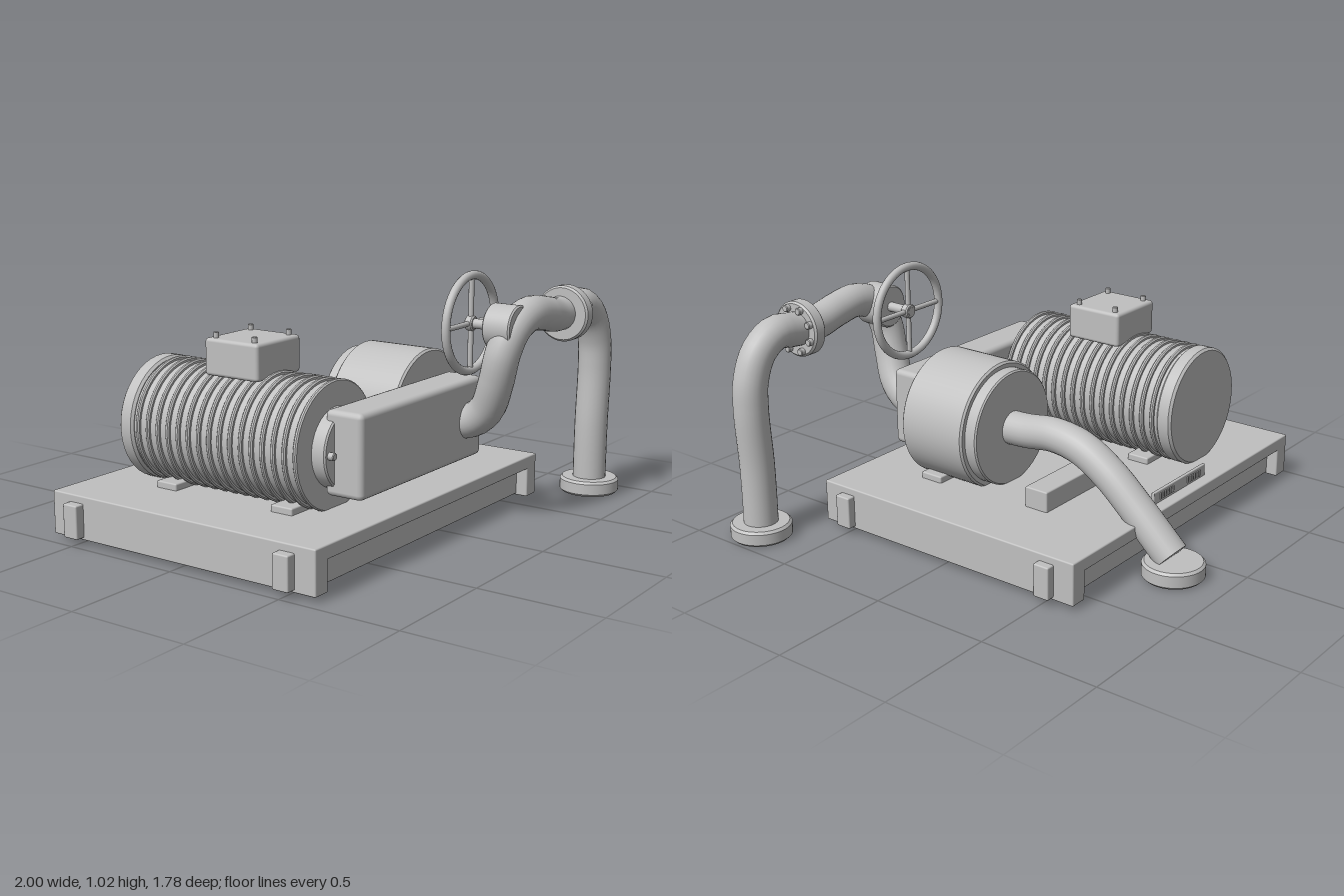
import * as THREE from 'three';
import { RoundedBoxGeometry } from 'three/addons/geometries/RoundedBoxGeometry.js';

export function createModel() {
  const model = new THREE.Group();
  const castMetal = new THREE.MeshStandardMaterial({ color: 0xc0c0c0 });
  castMetal.name = 'castMetal';

  const add = (name, geometry, x = 0, y = 0, z = 0) => {
    const mesh = new THREE.Mesh(geometry, castMetal);
    mesh.name = name;
    mesh.position.set(x, y, z);
    model.add(mesh);
    return mesh;
  };
  // Box given by its limits, with softened edges
  const box = (name, x0, x1, y0, y1, z0, z1, r = 0.006) =>
    add(name, new RoundedBoxGeometry(x1 - x0, y1 - y0, z1 - z0, 2, r),
      (x0 + x1) / 2, (y0 + y1) / 2, (z0 + z1) / 2);
  // Disc or drum from a bevelled profile; axis is 'x', 'y' or 'z'
  const drum = (name, axis, r, from, to, a, b, bevel = 0.006, sides = 48) => {
    const h = to - from;
    const pts = [[0, 0], [r - bevel, 0], [r - bevel, 0], [r, bevel], [r, bevel],
      [r, h - bevel], [r, h - bevel], [r - bevel, h], [r - bevel, h], [0, h]];
    const g = new THREE.LatheGeometry(pts.map(p => new THREE.Vector2(...p)), sides);
    if (axis === 'z') { g.rotateX(Math.PI / 2); return add(name, g, a, b, from); }
    if (axis === 'x') { g.rotateZ(-Math.PI / 2); return add(name, g, from, a, b); }
    return add(name, g, a, from, b);
  };
  // Smooth closed-end pipe through a few points
  const pipe = (name, points, r = 0.07) => {
    const curve = new THREE.CatmullRomCurve3(points.map(p => new THREE.Vector3(...p)));
    add(name, new THREE.TubeGeometry(curve, 72, r, 24));
    for (const t of [0, 1]) {
      const cap = add(name + 'End', new THREE.CircleGeometry(r, 24));
      cap.position.copy(curve.getPoint(t));
      const dir = curve.getTangent(t).multiplyScalar(t ? 1 : -1);
      cap.quaternion.setFromUnitVectors(new THREE.Vector3(0, 0, 1), dir);
    }
  };

  // Base frame: top plate, side beams, recessed end beams, lifting lugs
  box('basePlate', -0.96, 0.63, 0.14, 0.195, -0.63, 0.63);
  for (const [x0, x1] of [[-0.96, -0.885], [0.555, 0.63]])
    box('sideBeam', x0, x1, 0.02, 0.19, -0.63, 0.63);
  for (const s of [-1, 1]) {
    box('endBeam', -0.9, 0.57, 0.025, 0.15, s * 0.555 - 0.025, s * 0.555 + 0.025);
    for (const [x0, x1] of [[-1, -0.95], [0.62, 0.665]])
      box('lug', x0, x1, 0.03, 0.165, s * 0.505 - 0.035, s * 0.505 + 0.035);
  }

  // Motor: body, cooling ribs, rear cap, front hub and feet
  const mx = -0.5, my = 0.43;
  drum('motorBody', 'z', 0.237, -0.41, 0.39, mx, my);
  drum('motorRearCap', 'z', 0.25, -0.47, -0.4, mx, my, 0.01);
  for (let i = 0; i < 16; i++)
    drum('coolingRib', 'z', 0.25, -0.385 + i * 0.0505, -0.367 + i * 0.0505, mx, my, 0.005);
  drum('motorHub', 'z', 0.155, 0.38, 0.45, mx, 0.425);
  for (let i = 0; i < 6; i++) {
    const a = i * Math.PI / 3;
    drum('hubBolt', 'z', 0.015, 0.44, 0.475, mx + 0.125 * Math.cos(a), 0.425 + 0.125 * Math.sin(a), 0.003, 12);
  }
  for (const z of [-0.28, 0.28])
    box('motorFoot', mx - 0.195, mx + 0.195, 0.185, 0.222, z - 0.05, z + 0.05);

  // Junction box on the motor with four lid screws
  box('junctionBox', -0.63, -0.36, 0.655, 0.8, -0.13, 0.125, 0.014);
  for (const x of [-0.6, -0.39]) for (const z of [-0.095, 0.09])
    drum('lidScrew', 'y', 0.011, 0.79, 0.822, x, z, 0.002, 12);

  // Pump casing, feet and support block
  drum('pumpCasing', 'z', 0.265, 0.072, 0.385, 0.16, 0.425, 0.008, 64);
  drum('pumpRearCover', 'z', 0.24, 0.018, 0.08, 0.16, 0.425, 0.006, 64);
  box('pumpFoot', -0.05, 0.37, 0.185, 0.222, 0.23, 0.333);
  box('pipeSupport', -0.012, 0.335, 0.185, 0.28, -0.285, -0.178);

  // Belt guard
  box('beltGuard', -0.595, 0.265, 0.262, 0.588, 0.405, 0.57, 0.022);

  // Slotted plate at the rear of the base
  box('rearPlate', -0.36, 0.02, 0.19, 0.245, -0.578, -0.564, 0.004);
  for (const c of [-0.27, -0.07])
    for (let i = 0; i < 6; i++)
      box('plateRib', c - 0.052 + i * 0.018, c - 0.042 + i * 0.018, 0.205, 0.232, -0.582, -0.574, 0.001);

  // Inlet pipe running down behind the pump to its foot flange
  pipe('inletPipe', [[0.16, 0.425, 0.05], [0.16, 0.43, -0.06], [0.16, 0.445, -0.2], [0.16, 0.42, -0.33],
    [0.16, 0.345, -0.46], [0.16, 0.225, -0.6], [0.16, 0.08, -0.755]]);
  drum('inletFlange', 'y', 0.125, 0, 0.068, 0.16, -0.765, 0.01);

  // Outlet pipe arching out of the front and down to its foot flange
  pipe('outletPipe', [[0.16, 0.42, 0.38], [0.16, 0.42, 0.57], [0.15, 0.48, 0.655], [0.125, 0.6, 0.71],
    [0.12, 0.72, 0.74], [0.165, 0.81, 0.758], [0.27, 0.853, 0.765], [0.4, 0.84, 0.762], [0.52, 0.818, 0.755],
    [0.64, 0.822, 0.755], [0.74, 0.832, 0.757], [0.825, 0.775, 0.762], [0.872, 0.67, 0.765],
    [0.882, 0.55, 0.765], [0.87, 0.3, 0.765], [0.87, 0.03, 0.765]]);
  drum('outletFlange', 'y', 0.125, 0, 0.065, 0.87, 0.765, 0.01);

  // Bolted joint in the outlet pipe
  drum('jointFlange', 'x', 0.115, 0.563, 0.622, 0.815, 0.762, 0.008);
  for (let i = 0; i < 8; i++) {
    const a = (i + 0.5) * Math.PI / 4;
    drum('jointBolt', 'x', 0.015, 0.61, 0.642, 0.815 + 0.092 * Math.cos(a), 0.762 + 0.092 * Math.sin(a), 0.003, 12);
  }

  // Valve with stem and handwheel
  const wy = 0.815;
  drum('valveBonnet', 'z', 0.09, 0.67, 0.79, 0.16, wy);
  drum('valveStem', 'z', 0.02, 0.555, 0.7, 0.16, wy, 0.003, 20);
  drum('wheelHub', 'z', 0.03, 0.556, 0.59, 0.16, wy, 0.005, 24);
  add('wheelRim', new THREE.TorusGeometry(0.19, 0.0175, 14, 56), 0.16, wy, 0.572);
  for (const turn of [0, Math.PI / 2])
    add('wheelSpoke', new THREE.CylinderGeometry(0.011, 0.011, 0.38, 12), 0.16, wy, 0.572).rotation.z = turn;

  return model;
}
